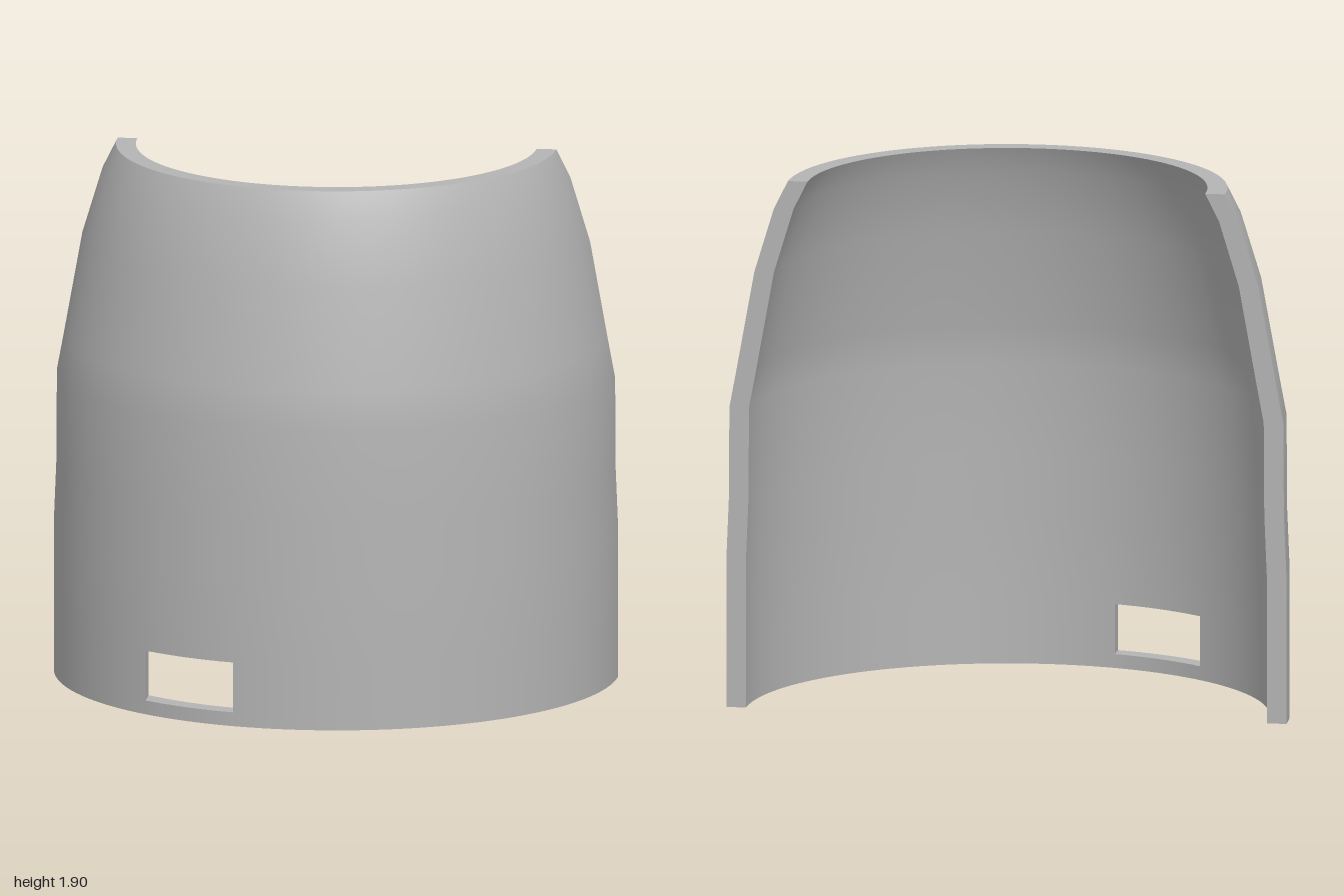
import * as THREE from 'three';

const THICK = 0.07, AXIS_Z = -0.5;
const HOLE_X = [-0.58, -0.25];
// outer profile: radius, height; the slot lies between rows 1 and 2
const PROFILE = [
  [1, 0], [1, 0.05], [1, 0.23], [1, 0.53], [0.991, 0.75], [0.989, 1.08],
  [0.963, 1.22], [0.9, 1.57], [0.83, 1.8], [0.78, 1.9],
];
const COLS = [20, 8, 36]; // columns left of, across and right of the slot
const HOLE_A = COLS[0], HOLE_B = COLS[0] + COLS[1];
const LAST_COL = COLS[0] + COLS[1] + COLS[2], LAST_ROW = PROFILE.length - 1;

// column angles, placed so the slot sides run straight back along z
function columnAngles(radius) {
  const stops = [-Math.PI / 2, ...HOLE_X.map(x => Math.asin(x / radius)), Math.PI / 2];
  const angles = [stops[0]];
  COLS.forEach((n, s) => {
    for (let i = 1; i <= n; i++) angles.push(THREE.MathUtils.lerp(stops[s], stops[s + 1], i / n));
  });
  return angles;
}
const ANGLES = [columnAngles(1), columnAngles(1 - THICK)];

// side 0 is the outer wall, side 1 the inner wall
function point(side, col, row) {
  const [radius, y] = PROFILE[row];
  const r = radius - side * THICK, a = ANGLES[side][col];
  return [r * Math.sin(a), y, AXIS_Z + r * Math.cos(a)];
}

// grid surface of (nu + 1) x (nv + 1) points
function grid(nu, nv, at, flip = false, skip = () => false) {
  const pos = [], index = [];
  for (let v = 0; v <= nv; v++) for (let u = 0; u <= nu; u++) pos.push(...at(u, v));
  for (let v = 0; v < nv; v++) for (let u = 0; u < nu; u++) {
    if (skip(u, v)) continue;
    const a = v * (nu + 1) + u, b = a + 1, c = b + nu + 1, d = a + nu + 1;
    index.push(...(flip ? [a, c, b, a, d, c] : [a, b, c, a, c, d]));
  }
  const geo = new THREE.BufferGeometry();
  geo.setAttribute('position', new THREE.Float32BufferAttribute(pos, 3));
  geo.setIndex(index);
  geo.computeVertexNormals();
  return geo;
}

export function createModel() {
  const group = new THREE.Group();
  group.name = 'halfShell';
  const grey = new THREE.MeshStandardMaterial({ color: 0xb4b4b4 });
  grey.name = 'grey';
  const add = (name, geo) => {
    const mesh = new THREE.Mesh(geo, grey);
    mesh.name = name;
    group.add(mesh);
  };

  // curved walls with the slot left open
  const inSlot = (u, v) => v === 1 && u >= HOLE_A && u < HOLE_B;
  add('outerWall', grid(LAST_COL, LAST_ROW, (u, v) => point(0, u, v), false, inSlot));
  add('innerWall', grid(LAST_COL, LAST_ROW, (u, v) => point(1, u, v), true, inSlot));

  // rims and cut faces joining the walls
  const rim = (row, c0, c1, flip) => grid(c1 - c0, 1, (u, v) => point(v, c0 + u, row), flip);
  const edge = (col, r0, r1, flip) => grid(1, r1 - r0, (u, v) => point(u, col, r0 + v), flip);
  add('topRim', rim(LAST_ROW, 0, LAST_COL, false));
  add('bottomRim', rim(0, 0, LAST_COL, true));
  add('rightCutFace', edge(0, 0, LAST_ROW, true));
  add('leftCutFace', edge(LAST_COL, 0, LAST_ROW, false));

  // slot lining
  add('slotSill', rim(1, HOLE_A, HOLE_B, false));
  add('slotHead', rim(2, HOLE_A, HOLE_B, true));
  add('slotRightSide', edge(HOLE_A, 1, 2, false));
  add('slotLeftSide', edge(HOLE_B, 1, 2, true));
  return group;
}
